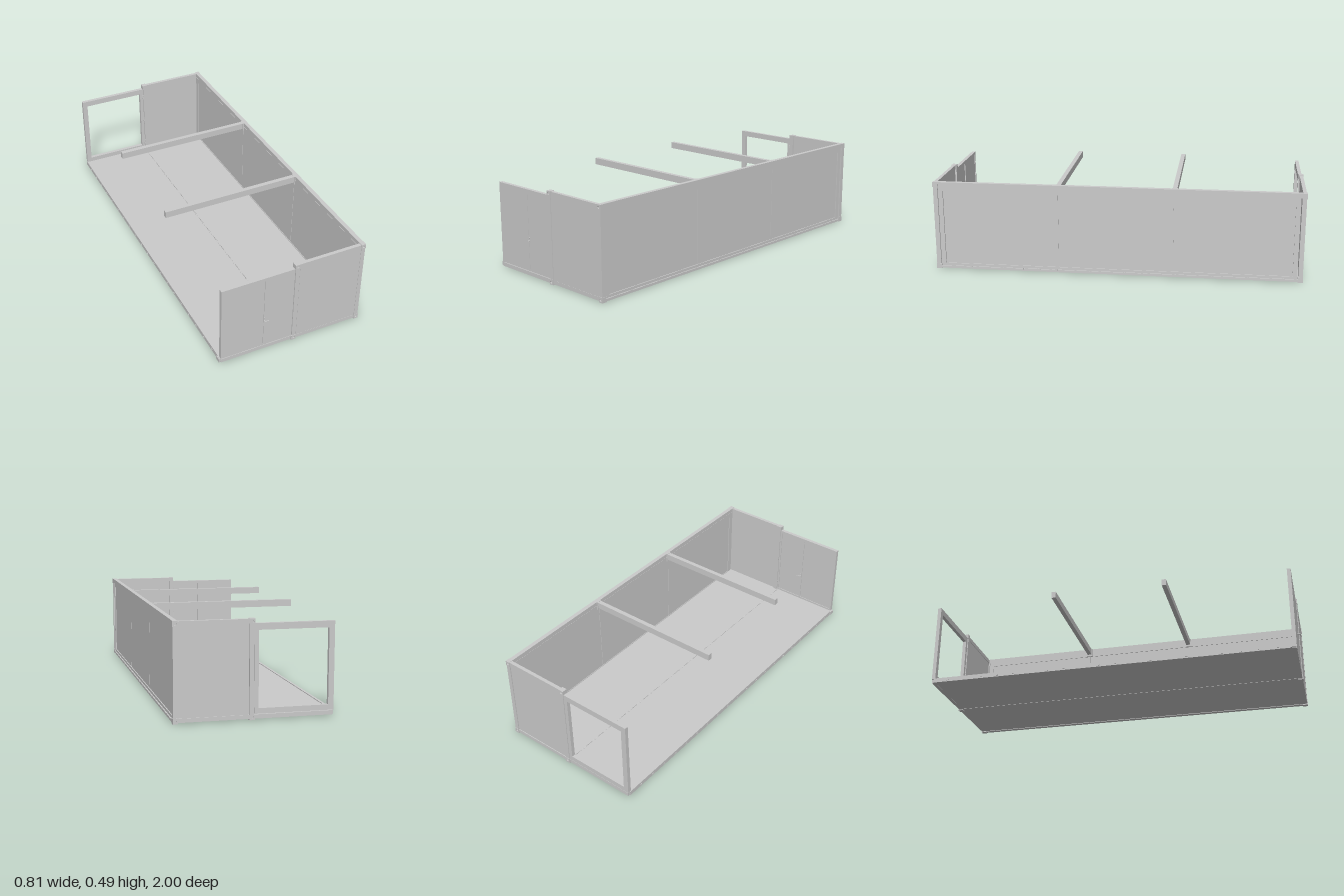
import * as THREE from 'three';

const grey = new THREE.MeshStandardMaterial({ color: 0xcccccc, flatShading: true });

export function createModel() {
  const model = new THREE.Group();
  model.name = 'foldOutContainer';

  // Box given by its limits on each axis
  const box = (name, x0, x1, y0, y1, z0, z1) => {
    const mesh = new THREE.Mesh(new THREE.BoxGeometry(x1 - x0, y1 - y0, z1 - z0), grey);
    mesh.position.set((x0 + x1) / 2, (y0 + y1) / 2, (z0 + z1) / 2);
    mesh.name = name;
    model.add(mesh);
    return mesh;
  };
  const rod = (name, r, length, x, y, z, axis) => {
    const mesh = new THREE.Mesh(new THREE.CylinderGeometry(r, r, length, 10), grey);
    if (axis === 'x') mesh.rotation.z = Math.PI / 2;
    if (axis === 'z') mesh.rotation.x = Math.PI / 2;
    mesh.position.set(x, y, z);
    mesh.name = name;
    model.add(mesh);
  };
  // Corner block with a round lifting hole in its outer face
  const casting = (x0, x1, y0, y1, zOut) => {
    const w = x1 - x0, h = y1 - y0, s = Math.sign(zOut);
    const shape = new THREE.Shape();
    shape.moveTo(0, 0).lineTo(w, 0).lineTo(w, h).lineTo(0, h).closePath();
    shape.holes.push(new THREE.Path().absarc(w / 2, h / 2, 0.007, 0, Math.PI * 2, true));
    const mesh = new THREE.Mesh(
      new THREE.ExtrudeGeometry(shape, { depth: 0.006, bevelEnabled: false, curveSegments: 8 }), grey);
    mesh.position.set(x0, y0, s > 0 ? zOut - 0.006 : zOut);
    mesh.name = 'cornerCasting';
    model.add(mesh);
    const zIn = zOut - s * 0.006, zBack = zOut - s * 0.028;
    box('cornerCastingBody', x0, x1, y0, y1, Math.min(zIn, zBack), Math.max(zIn, zBack));
  };

  // Floor: fixed half and folded-out half with a narrow joint
  box('fixedFloor', 0.003, 0.385, 0.006, 0.026, -0.98, 0.97);
  box('foldOutFloor', -0.39, 0, 0.006, 0.026, -0.98, 0.97);
  box('floorEdgeRail', -0.398, -0.385, 0.006, 0.03, -0.985, 0.975);
  for (let i = 0; i < 20; i++) {
    const z = -0.9 + i * 0.094;
    rod('floorHinge', 0.0025, 0.05, 0.001, 0.026, z);
    model.children.at(-1).rotation.x = Math.PI / 2;
    box('sideTab', 0.398, 0.402, 0.012, 0.018, z - 0.006, z + 0.006);
    box('floorEdgeTab', -0.401, -0.397, 0.012, 0.018, z - 0.006, z + 0.006);
  }

  // Long side wall: rails, stepped border and three panels
  box('sideTopRail', 0.377, 0.4, 0.465, 0.49, -0.985, 0.975);
  box('sideBottomRail', 0.377, 0.4, 0.003, 0.016, -0.985, 0.975);
  box('sideUpperBorder', 0.376, 0.394, 0.44, 0.466, -0.97, 0.96);
  box('sideLowerBorder', 0.376, 0.394, 0.015, 0.03, -0.97, 0.96);
  for (const [a, b] of [[-0.97, -0.945], [0.935, 0.96]]) box('sideEndBorder', 0.376, 0.394, 0.02, 0.45, a, b);
  const seams = [-0.945, -0.312, 0.306, 0.935];
  box('sideWallCore', 0.382, 0.386, 0.02, 0.45, -0.95, 0.94);
  for (let i = 0; i < 3; i++)
    box('sidePanel', 0.379, 0.389, 0.03, 0.44, seams[i] + 0.0015, seams[i + 1] - 0.0015);

  // Roof beams, fixed to the side rail and free at the other end
  for (const z of [-0.315, 0.305]) {
    box('roofBeam', -0.393, 0.378, 0.452, 0.488, z - 0.012, z + 0.012);
    box('beamBracket', 0.37, 0.38, 0.44, 0.49, z - 0.016, z + 0.016);
  }

  // End walls of the fixed half
  for (const s of [1, -1]) {
    const out = s > 0 ? 0.987 : -1;
    const slab = (name, x0, x1, y0, y1, near, far) => {
      const a = out - s * near, b = out - s * far;
      return box(name, x0, x1, y0, y1, Math.min(a, b), Math.max(a, b));
    };
    slab('cornerPost', 0.378, 0.4, 0.02, 0.47, 0.002, 0.026);
    slab('hingePost', 0.006, 0.029, 0.02, 0.47, 0.002, 0.028);
    slab('endTopRail', 0.029, 0.379, 0.465, 0.488, 0.003, 0.022);
    slab('endBottomRail', 0.029, 0.379, 0.006, 0.026, 0.003, 0.022);
    slab('endPanel', 0.031, 0.379, 0.025, 0.466, s > 0 ? 0.004 : 0.007, 0.019);
    for (const [y0, y1] of [[0, 0.028], [0.462, 0.49]]) {
      casting(0.003, 0.03, y0, y1, out);
      casting(0.377, 0.402, y0, y1, out);
    }
    // Base rail under the folded-out end wall
    slab('foldOutBaseRail', -0.392, 0.003, 0.005, 0.026, 0.005, 0.025);
    // Hinge knuckles beside the post
    for (const y of [0.08, 0.25, 0.41]) rod('wallHinge', 0.003, 0.03, 0.004, y, out - s * 0.024);
  }

  // Front fold-out wall: border frame, fixed board and door
  const zf = 0.982, zb = 0.962;
  box('doorWallTop', -0.394, 0.004, 0.45, 0.466, zb, zf);
  box('doorWallBottom', -0.394, 0.004, 0.029, 0.04, zb, zf);
  box('doorWallOuterEdge', -0.394, -0.384, 0.04, 0.45, zb, zf);
  box('doorWallInnerEdge', -0.006, 0.004, 0.04, 0.45, zb, zf);
  box('doorWallMullion', -0.168, -0.161, 0.04, 0.45, zb, zf);
  box('fixedBoard', -0.384, -0.168, 0.04, 0.45, zb + 0.004, zf);
  box('door', -0.159, -0.006, 0.04, 0.45, zb + 0.004, zf);
  for (const s of [1, -1]) {
    const z = s > 0 ? zf : zb + 0.004;
    rod('handleSpindle', 0.003, 0.012, -0.156, 0.195, z + s * 0.006, 'z');
    box('doorHandle', -0.159, -0.136, 0.193, 0.197, z + s * 0.012 - 0.002, z + s * 0.012 + 0.002);
    rod('lockCylinder', 0.003, 0.006, -0.156, 0.211, z + s * 0.002, 'z');
  }
  box('floorCornerBracket', -0.404, -0.392, 0.008, 0.028, 0.95, 0.98);

  // Back fold-out wall: open frame
  const opening = new THREE.Shape();
  opening.moveTo(-0.395, 0.029).lineTo(0.004, 0.029).lineTo(0.004, 0.466).lineTo(-0.395, 0.466).closePath();
  const hole = new THREE.Path();
  hole.moveTo(-0.367, 0.056).lineTo(-0.367, 0.434).lineTo(-0.016, 0.434).lineTo(-0.016, 0.056).closePath();
  opening.holes.push(hole);
  const frame = new THREE.Mesh(new THREE.ExtrudeGeometry(opening, { depth: 0.02, bevelEnabled: false }), grey);
  frame.position.z = -0.996;
  frame.name = 'openEndFrame';
  model.add(frame);

  return model;
}
